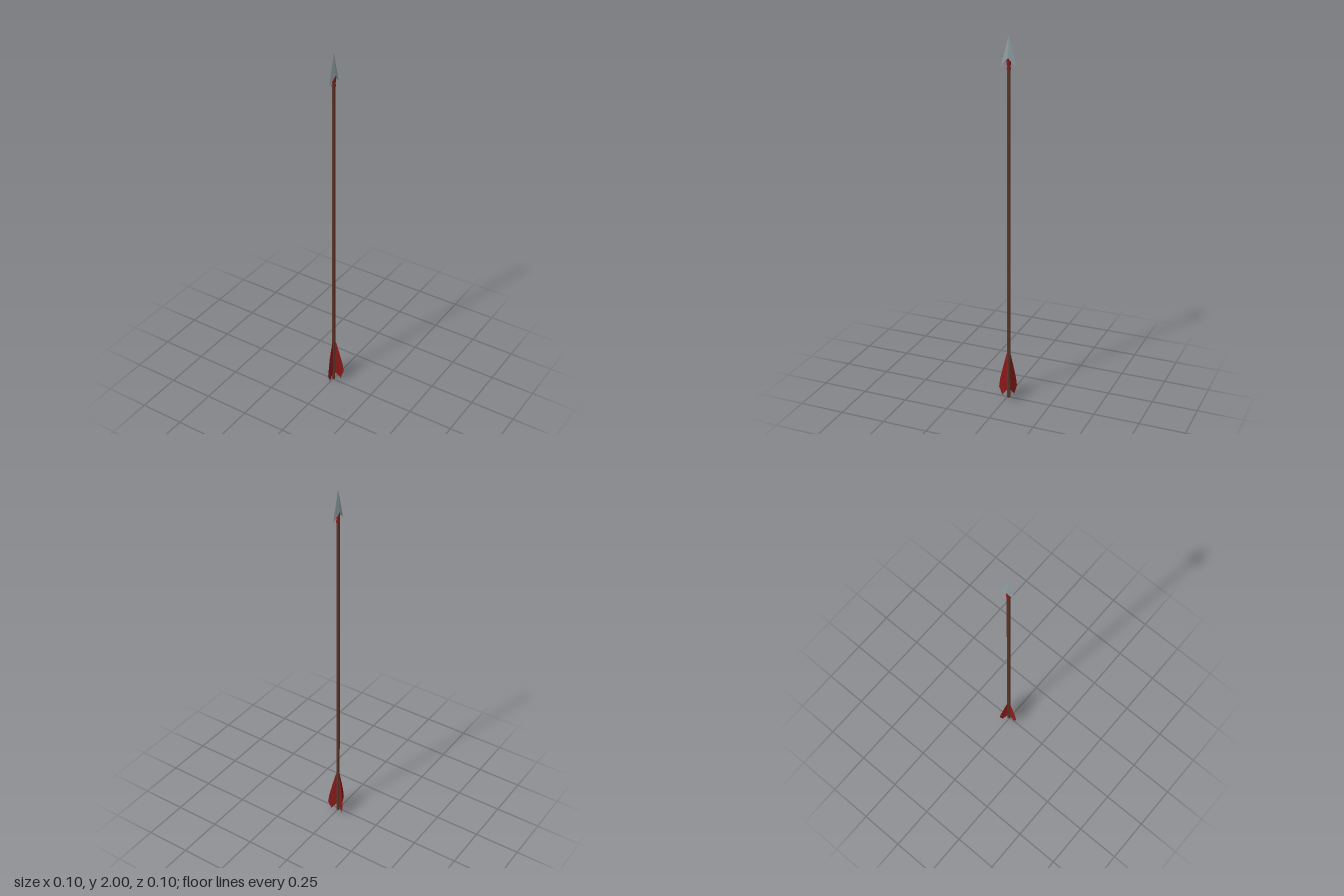
import * as THREE from 'three';

export function createModel() {
  const group = new THREE.Group();
  group.name = 'arrow';

  const material = (name, color, options = {}) => {
    const m = new THREE.MeshStandardMaterial({ color, flatShading: true, ...options });
    m.name = name;
    return m;
  };
  const wood = material('wood', 0x5e3626);
  const steel = material('steel', 0x8c9ca0);
  const red = material('red', 0x8b1a1c, { side: THREE.DoubleSide });

  const add = (name, geometry, mat) => {
    const mesh = new THREE.Mesh(geometry, mat);
    mesh.name = name;
    group.add(mesh);
    return mesh;
  };
  // Six-sided rod between two heights, with corners on the x axis
  const rod = (name, radius, y0, y1, mat) => {
    const geometry = new THREE.CylinderGeometry(radius, radius, y1 - y0, 6);
    geometry.rotateY(Math.PI / 2).translate(0, (y0 + y1) / 2, 0);
    return add(name, geometry, mat);
  };

  rod('shaft', 0.0095, 0, 1.9, wood);
  rod('lowerBinding', 0.0115, 1.828, 1.836, red);
  rod('upperBinding', 0.0115, 1.85, 1.884, red);

  // Barbed head: four blade facets and a notched underside
  const tip = [0, 2, 0];
  const front = [0, 1.84, 0.042];
  const back = [0, 1.84, -0.042];
  const left = [0.012, 1.886, 0];
  const right = [-0.012, 1.886, 0];
  const faces = [
    tip, front, left, tip, left, back, tip, back, right, tip, right, front,
    left, front, right, right, back, left,
  ];
  const headGeometry = new THREE.BufferGeometry();
  headGeometry.setAttribute('position', new THREE.Float32BufferAttribute(faces.flat(), 3));
  headGeometry.computeVertexNormals();
  add('arrowhead', headGeometry, steel);

  // Three flat vanes around the tail, one facing front
  const outline = [
    [0.004, 0.275], [0.012, 0.262], [0.03, 0.19], [0.05, 0.105],
    [0.057, 0.055], [0.039, 0.006], [0.012, 0.04], [0.004, 0.04],
  ].map(([x, y]) => new THREE.Vector2(x, y));
  const vaneGeometry = new THREE.ShapeGeometry(new THREE.Shape(outline));
  for (let i = 0; i < 3; i++) {
    const vane = add('vane' + (i + 1), vaneGeometry, red);
    vane.rotation.y = -Math.PI / 2 + (i * 2 * Math.PI) / 3;
  }

  // Centre the overall depth on z = 0
  group.children.forEach((mesh) => { mesh.position.z = -0.0075; });
  return group;
}
